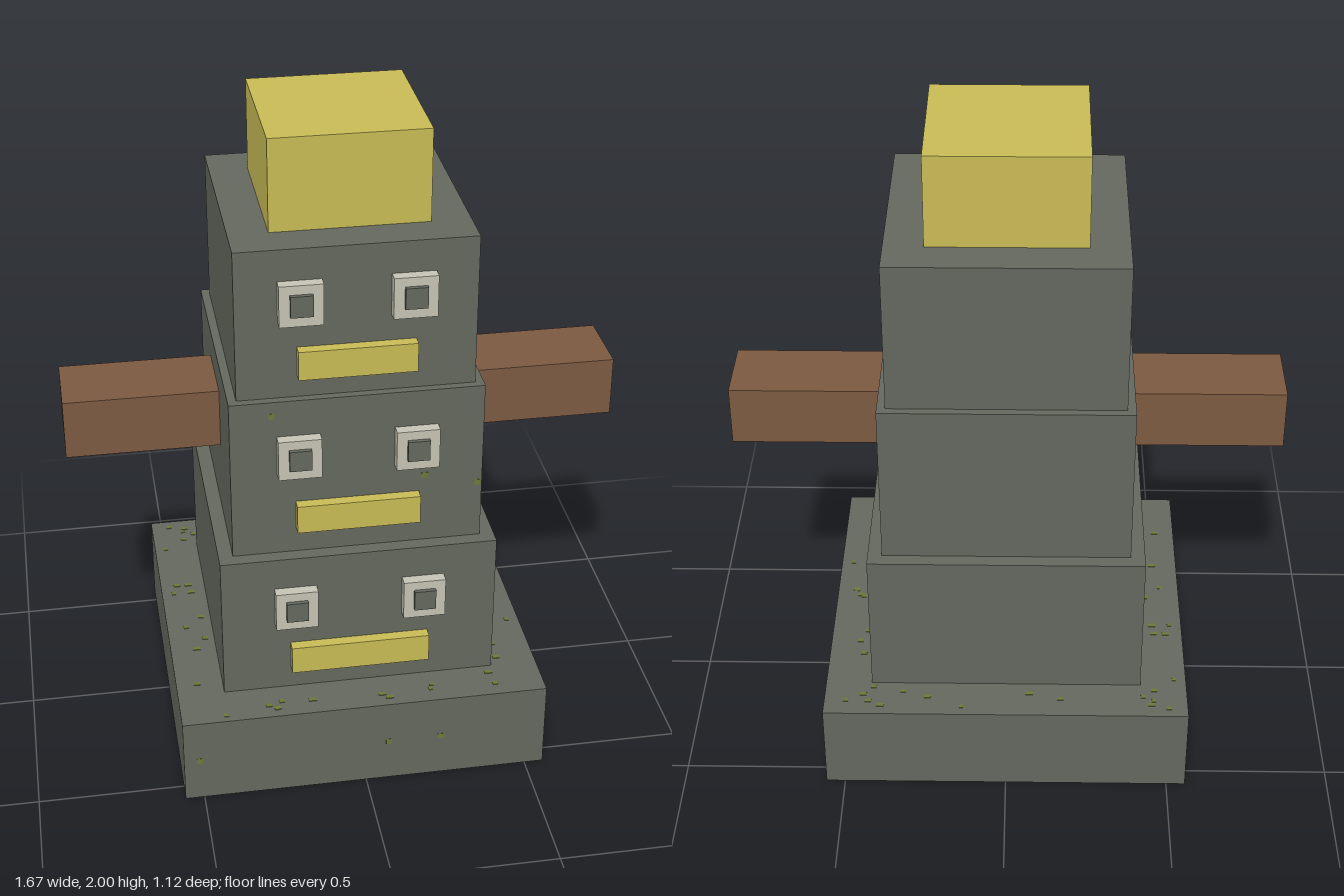
import * as THREE from 'three';

const paint = (name, color) => {
  const m = new THREE.MeshStandardMaterial({ color });
  m.name = name;
  return m;
};

export function createModel() {
  const stone = paint('stone', 0x64685e);
  const yellow = paint('yellow', 0xc9bc56);
  const wood = paint('wood', 0x7d5a41);
  const pale = paint('paleStone', 0xc6c4b5);
  const moss = paint('moss', 0x6c7a35);

  const model = new THREE.Group();
  model.name = 'totem';

  const box = (parent, name, mat, size, pos) => {
    const mesh = new THREE.Mesh(new THREE.BoxGeometry(...size), mat);
    mesh.name = name;
    mesh.position.set(...pos);
    parent.add(mesh);
    return mesh;
  };

  // Stepped base and cap
  box(model, 'base', stone, [1.116, 0.28, 1.116], [0, 0.14, 0]);
  box(model, 'cap', yellow, [0.464, 0.28, 0.464], [0, 1.86, 0]);

  // Three stacked blocks, each with a face on the front
  const tiers = [
    { name: 'lower', half: 0.416, y0: 0.28, y1: 0.745, eyeX: 0.193, eyeY: 0.58, mouthW: 0.42, mouthY: 0.398 },
    { name: 'middle', half: 0.373, y0: 0.745, y1: 1.256, eyeX: 0.173, eyeY: 1.078, mouthW: 0.366, mouthY: 0.873 },
    { name: 'upper', half: 0.348, y0: 1.256, y1: 1.72, eyeX: 0.162, eyeY: 1.56, mouthW: 0.344, mouthY: 1.37 },
  ];
  for (const t of tiers) {
    const tier = new THREE.Group();
    tier.name = t.name + 'Tier';
    model.add(tier);
    box(tier, 'block', stone, [t.half * 2, t.y1 - t.y0, t.half * 2], [0, (t.y0 + t.y1) / 2, 0]);
    box(tier, 'mouth', yellow, [t.mouthW, 0.09, 0.034], [0, t.mouthY, t.half + 0.017]);
    for (const side of [-1, 1]) {
      const label = side > 0 ? 'left' : 'right';
      box(tier, label + 'Eye', pale, [0.127, 0.127, 0.034], [side * t.eyeX, t.eyeY, t.half + 0.017]);
      box(tier, label + 'Pupil', stone, [0.065, 0.065, 0.02], [side * t.eyeX, t.eyeY + 0.003, t.half + 0.037]);
    }
  }

  // Side beams
  for (const side of [-1, 1]) {
    box(model, side > 0 ? 'leftArm' : 'rightArm', wood, [0.48, 0.185, 0.229], [side * 0.595, 1.069, 0]);
  }

  // Tiny moss flecks scattered over the base ledge
  let seed = 7;
  const rand = () => (seed = (seed * 16807) % 2147483647) / 2147483647;
  const flecks = new THREE.Group();
  flecks.name = 'mossFlecks';
  model.add(flecks);
  for (let i = 0; i < 48; i++) {
    const along = (rand() * 2 - 1) * 0.5;
    const out = (i % 2 ? 1 : -1) * (0.43 + rand() * 0.1);
    const [x, z] = i % 4 < 2 ? [along, out] : [out, along];
    box(flecks, 'mossFleck', moss, [0.012 + rand() * 0.012, 0.002, 0.014], [x, 0.281, z]);
  }
  // A few flecks on the front of the base and middle block
  for (const [x, y, z] of [[-0.51, 0.14, 0.558], [0.07, 0.14, 0.558], [0.23, 0.14, 0.558],
    [-0.25, 1.21, 0.373], [0.2, 0.97, 0.373], [0.36, 0.93, 0.373]]) {
    box(flecks, 'mossFleck', moss, [0.018, 0.018, 0.002], [x, y, z]);
  }

  return model;
}
